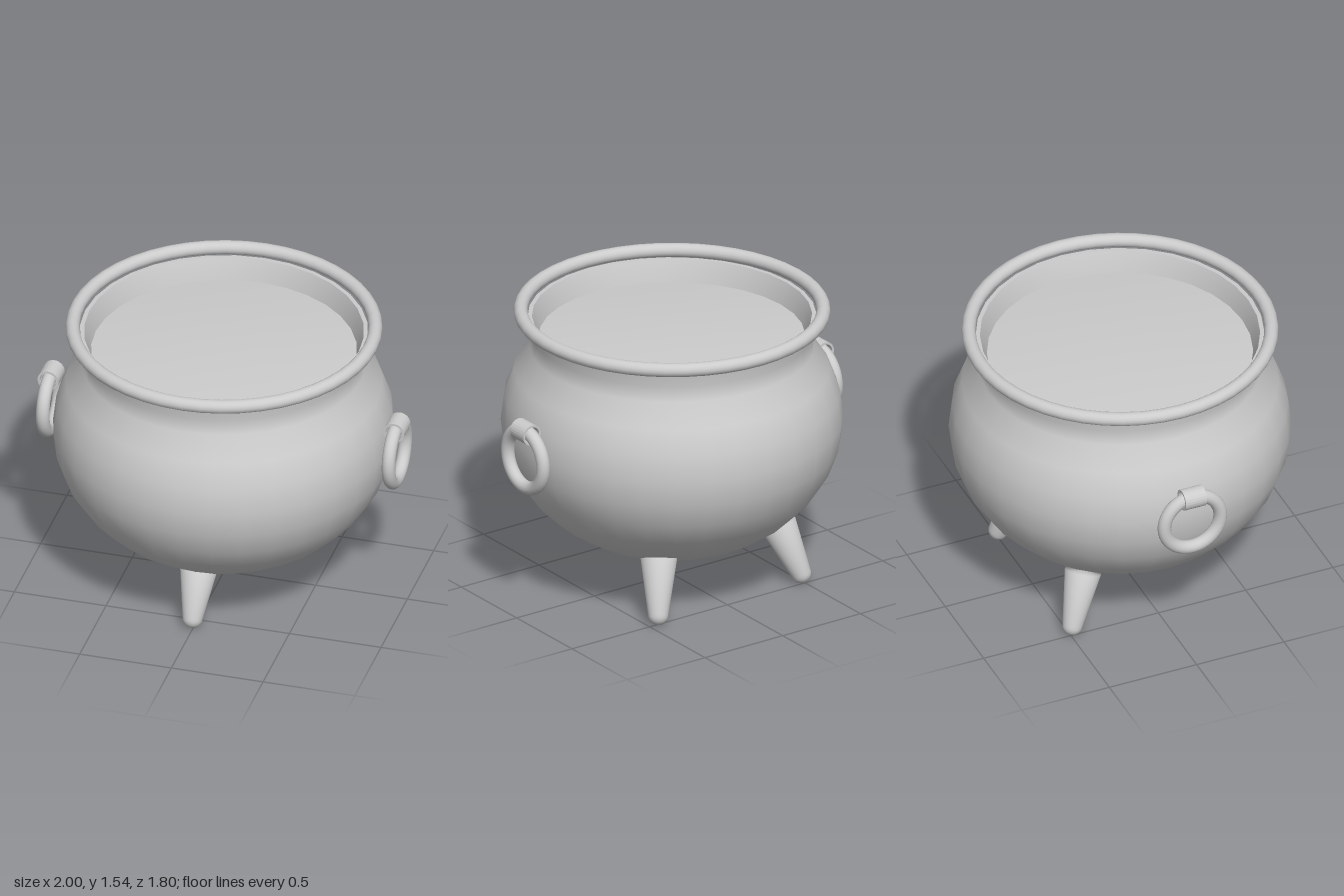
import * as THREE from 'three';

const material = new THREE.MeshStandardMaterial({ color: 0xcccccc });

function addMesh(parent, name, geometry) {
  const mesh = new THREE.Mesh(geometry, material);
  mesh.name = name;
  parent.add(mesh);
  return mesh;
}

const lathe = (points, segments = 32) =>
  new THREE.LatheGeometry(points.map(([r, y]) => new THREE.Vector2(r, y)), segments);

// Squashed-sphere profile from the bottom centre up to a ring above the equator
function bellyProfile(radius, height, rings) {
  const points = [];
  for (let i = 0; i <= rings; i++) {
    const t = (i / 16) * Math.PI;
    points.push([radius * Math.sin(t), 0.9 - height * Math.cos(t)]);
  }
  return points;
}

// Foot: tapered peg with a rounded tip, set from the tip centre up to the belly
function addLeg(parent, name, tip, top) {
  const a = new THREE.Vector3(...tip);
  const axis = new THREE.Vector3(...top).sub(a);
  const length = axis.length();
  const tipRadius = 0.054;
  const profile = [];
  for (let i = 0; i <= 6; i++) {
    const t = (i / 6) * Math.PI / 2;
    profile.push([tipRadius * Math.sin(t), -tipRadius * Math.cos(t)]);
  }
  profile.push([0.097, length], [0, length + 0.005]);
  const leg = addMesh(parent, name, lathe(profile, 24));
  leg.position.copy(a);
  leg.quaternion.setFromUnitVectors(new THREE.Vector3(0, 1, 0), axis.normalize());
}

// Handle: hanging ring held by a short hollow sleeve
function addHandle(parent, name, side) {
  const handle = new THREE.Group();
  handle.name = name;
  const ring = addMesh(handle, 'handleRing', new THREE.TorusGeometry(0.16, 0.036, 16, 40));
  ring.rotation.y = Math.PI / 2;
  ring.position.y = 0.895;
  const sleeve = addMesh(handle, 'handleSleeve', lathe(
    [[0.045, -0.06], [0.057, -0.06], [0.057, 0.06], [0.045, 0.06], [0.045, -0.06]], 24).toNonIndexed());
  sleeve.geometry.computeVertexNormals();
  sleeve.rotation.x = Math.PI / 2;
  sleeve.position.y = 1.05;
  handle.position.x = side * 0.943;
  parent.add(handle);
}

export function createModel() {
  const model = new THREE.Group();
  model.name = 'cauldron';

  // Belly, flared neck and thin lip
  const body = new THREE.Group();
  body.name = 'body';
  addMesh(body, 'outerWall', lathe([...bellyProfile(0.899, 0.73, 11), [0.742, 1.39], [0.757, 1.483]]));
  addMesh(body, 'lip', lathe([[0.757, 1.483], [0.735, 1.483]]));
  addMesh(body, 'innerNeck', lathe([[0.735, 1.483], [0.715, 1.43], [0.697, 1.36]]));
  model.add(body);

  // Contents filling the pot up to the neck, level on top
  addMesh(model, 'contents', lathe([...bellyProfile(0.875, 0.705, 11), [0.705, 1.366], [0, 1.366]]));

  // Rim ring sitting just above the lip
  const rim = addMesh(model, 'rim', new THREE.TorusGeometry(0.794, 0.037, 16, 48));
  rim.rotation.x = Math.PI / 2;
  rim.position.y = 1.509;

  // Three splayed feet: one in front, two behind
  addLeg(model, 'frontLeg', [-0.007, 0.055, 0.572], [-0.007, 0.28, 0.46]);
  addLeg(model, 'backLeftLeg', [0.445, 0.055, -0.5], [0.37, 0.325, -0.4]);
  addLeg(model, 'backRightLeg', [-0.485, 0.055, -0.485], [-0.405, 0.325, -0.39]);

  addHandle(model, 'leftHandle', 1);
  addHandle(model, 'rightHandle', -1);

  return model;
}
